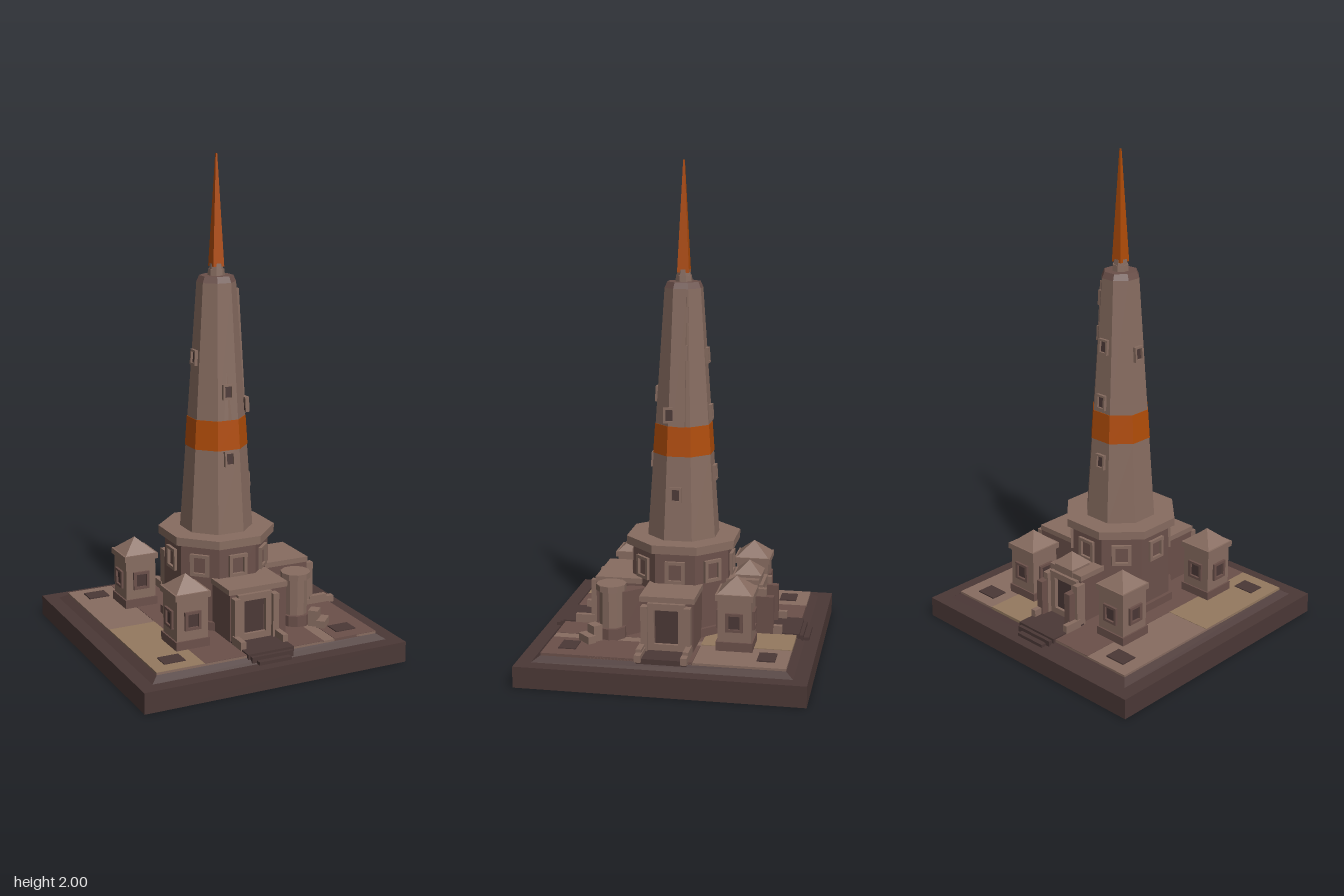
import * as THREE from 'three';

const paint = (color) => new THREE.MeshStandardMaterial({ color, flatShading: true });
const DARK = paint(0x4b3836), STONE = paint(0x876c60), BROWN = paint(0x6b504a), TAN = paint(0x94795f), ORANGE = paint(0xb04c08);

const TOWER_BASE = 0.49, TOWER_TOP = 1.5;
const towerHalf = (y) => 0.138 - 0.065 * (y - TOWER_BASE) / (TOWER_TOP - TOWER_BASE);

export function createModel() {
  const model = new THREE.Group();

  function add(parent, name, geometry, material, x = 0, y = 0, z = 0) {
    const mesh = new THREE.Mesh(geometry, material);
    mesh.name = name;
    mesh.position.set(x, y, z);
    parent.add(mesh);
    return mesh;
  }
  // Box given by centre in plan, bottom and top
  const block = (parent, name, mat, x, z, w, d, y0, y1) =>
    add(parent, name, new THREE.BoxGeometry(w, y1 - y0, d), mat, x, (y0 + y1) / 2, z);
  // Regular prism or frustum with flat sides facing the axes, sized by half width
  function prism(parent, name, mat, sides, half0, half1, y0, y1, x = 0, z = 0) {
    const k = 1 / Math.cos(Math.PI / sides);
    const geo = new THREE.CylinderGeometry(half1 * k, half0 * k, y1 - y0, sides).rotateY(Math.PI / sides);
    return add(parent, name, geo, mat, x, (y0 + y1) / 2, z);
  }
  function group(name, x = 0, z = 0, turn = 0) {
    const g = new THREE.Group();
    g.name = name;
    g.position.set(x, 0, z);
    g.rotation.y = turn;
    model.add(g);
    return g;
  }
  // Raised rectangular frame around a recessed panel, facing local +z
  function frame(parent, name, mat, x, y, z, w, h, depth) {
    const shape = new THREE.Shape([[-w, -h], [w, -h], [w, h], [-w, h]].map(([a, b]) => new THREE.Vector2(a / 2, b / 2)));
    const hole = new THREE.Path([[-w, -h], [-w, h], [w, h], [w, -h]].map(([a, b]) => new THREE.Vector2(a * 0.32, b * 0.36)));
    shape.holes.push(hole);
    return add(parent, name, new THREE.ExtrudeGeometry(shape, { depth, bevelEnabled: false }), mat, x, y, z);
  }

  // Plinth and courtyard
  const base = group('base');
  block(base, 'plinth', DARK, 0, 0, 1.136, 1.136, 0, 0.085);
  prism(base, 'courtyardBevel', DARK, 4, 0.51, 0.48, 0.085, 0.105);
  block(base, 'courtyard', STONE, 0, 0, 0.96, 0.96, 0.09, 0.114);
  block(base, 'pavingDark', BROWN, -0.02, 0.0, 0.52, 0.96, 0.1, 0.1155);
  block(base, 'pavingDark', BROWN, 0.385, 0.18, 0.19, 0.6, 0.1, 0.1155);
  block(base, 'pavingLight', TAN, 0.19, -0.3, 0.18, 0.36, 0.1, 0.1165);
  block(base, 'pavingLight', TAN, -0.38, 0.24, 0.2, 0.48, 0.1, 0.1155);
  for (const x of [-0.38, 0.375]) for (const z of [-0.395, 0.39])
    block(base, 'floorHatch', DARK, x, z, 0.09, 0.07, 0.1, 0.119);

  // Octagonal podium
  const podium = group('podium');
  prism(podium, 'podiumFoot', BROWN, 8, 0.215, 0.215, 0.11, 0.15);
  prism(podium, 'podiumWall', BROWN, 8, 0.2, 0.195, 0.15, 0.46);
  prism(podium, 'podiumCap', STONE, 8, 0.22, 0.22, 0.46, 0.494);
  for (let i = 0; i < 8; i++) {
    const side = group('podiumPanel', 0, 0, i * Math.PI / 4);
    frame(side, 'panelFrame', STONE, 0, 0.38, 0.192, 0.08, 0.09, 0.016);
  }

  // Tapered tower with coloured band, chamfered top and spire
  const tower = group('tower');
  const shaft = (name, mat, y0, y1, grow = 0) => prism(tower, name, mat, 8, towerHalf(y0) + grow, towerHalf(y1) + grow, y0, y1);
  shaft('lowerShaft', STONE, TOWER_BASE, 0.835);
  shaft('band', ORANGE, 0.835, 0.955, 0.002);
  shaft('upperShaft', STONE, 0.955, TOWER_TOP);
  prism(tower, 'towerShoulder', BROWN, 8, 0.073, 0.063, TOWER_TOP, 1.525);
  prism(tower, 'spireCollar', STONE, 8, 0.032, 0.03, 1.525, 1.55);
  prism(tower, 'spireCollarTop', STONE, 8, 0.026, 0.024, 1.55, 1.572);
  prism(tower, 'spire', ORANGE, 4, 0.024, 0.003, 1.56, 2);

  // Windows on the tower faces: turn, sideways offset, height
  const lean = -Math.atan(0.065 / (TOWER_TOP - TOWER_BASE));
  const windows = [
    [0, 0, 1.07], [0, 0, 0.8],
    [1, 0.01, 1.4], [1, 0.01, 1.25], [1, -0.04, 1.0], [1, -0.01, 0.68],
    [2, 0, 1.23], [2, 0, 1.0], [2, 0.01, 0.75], [3, 0, 1.2],
  ];
  for (const [quarter, x, y] of windows) {
    const face = group('towerWindow', 0, 0, quarter * Math.PI / 2);
    frame(face, 'windowFrame', STONE, x, y, towerHalf(y) - 0.004, 0.046, 0.062, 0.017).rotation.x = lean;
    block(face, 'windowPane', DARK, x, towerHalf(y), 0.03, 0.008, y - 0.024, y + 0.024).rotation.x = lean;
  }
  // Raised rib up the left face
  const ribFace = group('towerRib', 0, 0, Math.PI / 2);
  const rib = block(ribFace, 'rib', STONE, 0, towerHalf(1.21), 0.05, 0.026, 0.955, 1.47);
  rib.rotation.x = lean;
  // Slim pointed ridge on the front
  const ridge = add(tower, 'frontRidge', new THREE.ConeGeometry(0.032, 0.37, 4), STONE, 0, 1.14, towerHalf(1.14) - 0.006);
  ridge.scale.z = 0.4;
  ridge.rotation.x = lean;

  // Square corner turrets
  for (const [x, z] of [[-0.258, -0.258], [0.257, -0.258], [-0.258, 0.255]]) {
    const t = group('cornerTurret', x, z);
    block(t, 'turretFoot', BROWN, 0, 0, 0.145, 0.145, 0.11, 0.15);
    block(t, 'turretWall', STONE, 0, 0, 0.132, 0.132, 0.15, 0.32);
    block(t, 'turretCornice', STONE, 0, 0, 0.15, 0.15, 0.318, 0.342);
    prism(t, 'turretRoof', STONE, 4, 0.068, 0.0, 0.342, 0.402);
    for (let i = 0; i < 4; i++) {
      const side = new THREE.Group();
      side.name = 'turretOpening';
      side.rotation.y = i * Math.PI / 2;
      t.add(side);
      frame(side, 'openingFrame', BROWN, 0, 0.23, 0.062, 0.07, 0.075, 0.014);
      block(side, 'openingPanel', DARK, 0, 0.065, 0.045, 0.004, 0.203, 0.257);
    }
  }

  // Round turret on the remaining corner, with its link walls
  const round = group('roundTurret', 0.235, 0.252);
  prism(round, 'roundFoot', BROWN, 10, 0.058, 0.058, 0.11, 0.16);
  prism(round, 'roundWall', STONE, 10, 0.046, 0.046, 0.16, 0.31);
  prism(round, 'roundCap', STONE, 10, 0.058, 0.058, 0.31, 0.335);
  block(round, 'linkWall', BROWN, -0.05, -0.06, 0.06, 0.13, 0.11, 0.3).rotation.y = Math.PI / 4;
  block(round, 'roundStep', STONE, 0.085, 0.08, 0.075, 0.035, 0.11, 0.145).rotation.y = Math.PI / 4;
  block(round, 'roundStep', STONE, 0.06, 0.055, 0.05, 0.04, 0.11, 0.18).rotation.y = Math.PI / 4;

  // Gatehouses: turn, hall width, side shift, hall end
  const gates = [['frontGate', 0, 0.25, 0.022, 0.335], ['leftGate', Math.PI / 2, 0.21, 0, 0.37], ['backGate', Math.PI, 0.17, 0, 0.32]];
  for (const [name, turn, w, shift, end] of gates) {
    const g = group(name, 0, 0, turn);
    block(g, 'hall', BROWN, shift, (0.15 + end) / 2, w, end - 0.15, 0.11, 0.31);
    block(g, 'hallRoof', STONE, shift, (0.15 + end) / 2, w + 0.008, end - 0.145, 0.31, 0.332);
    frame(g, 'doorFrame', STONE, 0, 0.215, end, 0.15, 0.19, 0.018);
    block(g, 'door', DARK, 0, end, 0.09, 0.008, 0.14, 0.285);
    for (const s of [-1, 1]) {
      block(g, 'doorPost', STONE, s * 0.085, end + 0.012, 0.026, 0.045, 0.11, 0.3);
      block(g, 'railing', STONE, s * 0.092, end + 0.06, 0.022, 0.08, 0.11, 0.15);
    }
    block(g, 'walkway', DARK, 0, (end + 0.49) / 2, 0.2, 0.49 - end, 0.1, 0.121);
  }
  // Entry steps at front and back
  for (const s of [-1, 1]) {
    block(base, 'upperStep', DARK, 0, s * 0.485, 0.18, 0.04, 0.085, 0.112);
    block(base, 'lowerStep', DARK, 0, s * 0.505, 0.14, 0.045, 0.085, 0.098);
  }
  // Side platform rails by the left gate
  for (const s of [-1, 1]) block(model, 'platformRail', STONE, 0.44, s * 0.09, 0.13, 0.025, 0.11, 0.138);
  // Small watch turret above the back gate
  const watch = group('backTurret', 0.01, -0.275);
  block(watch, 'watchWall', STONE, 0, 0, 0.1, 0.1, 0.31, 0.345);
  prism(watch, 'watchRoof', STONE, 4, 0.055, 0, 0.345, 0.395);
  for (const s of [-1, 1]) block(watch, 'buttress', BROWN, s * 0.08, -0.06, 0.03, 0.1, 0.11, 0.27);

  return model;
}
